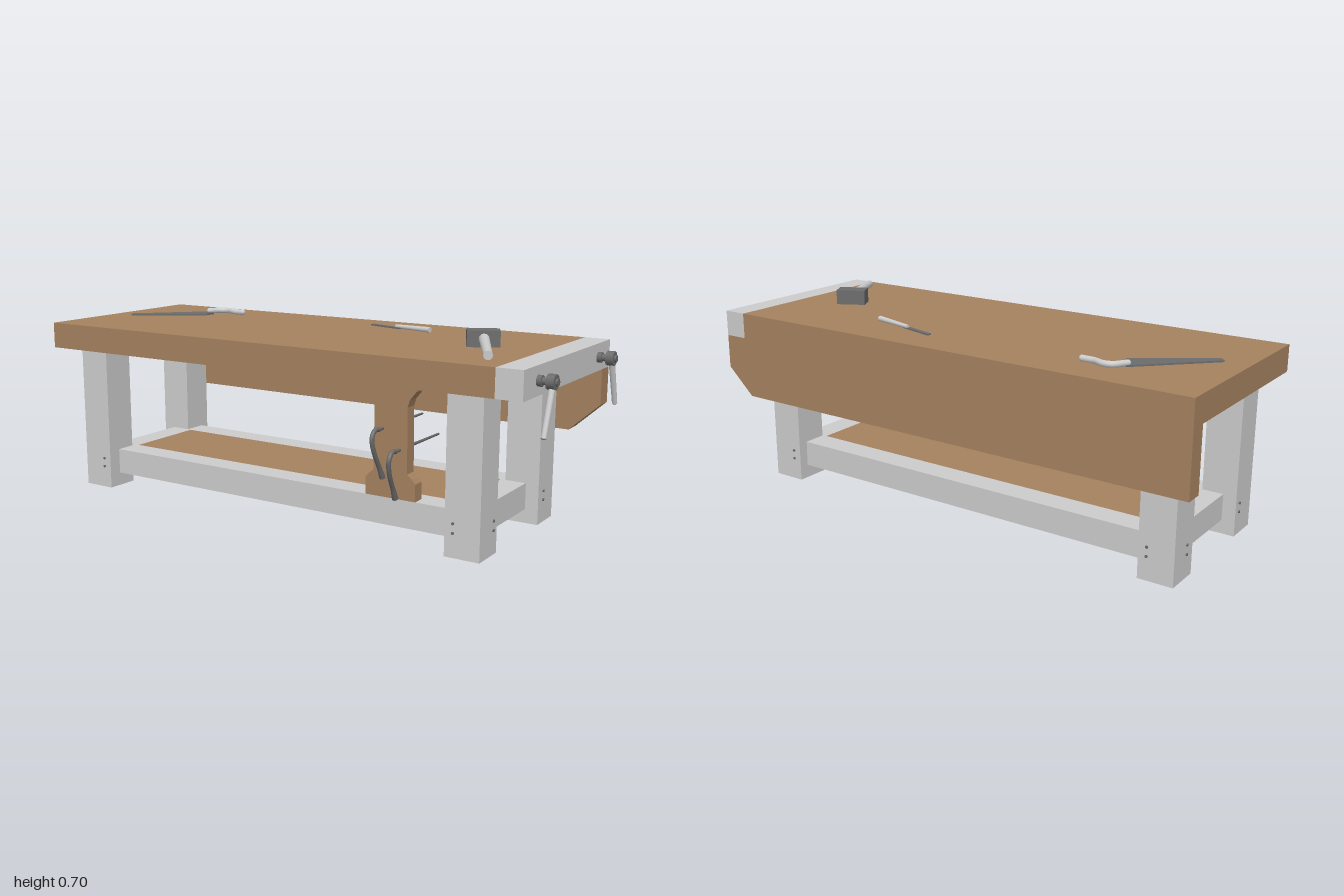
import * as THREE from 'three';

const mat = (name, color) => {
  const m = new THREE.MeshStandardMaterial({ color });
  m.name = name;
  return m;
};

export function createModel() {
  const wood = mat('brown wood', 0xa5825f);
  const pale = mat('pale grey timber', 0xcccccc);
  const steel = mat('dark steel', 0x6c6c6c);
  const bench = new THREE.Group();
  bench.name = 'workbench';

  const add = (name, geometry, material, parent = bench) => {
    const m = new THREE.Mesh(geometry, material);
    m.name = name;
    parent.add(m);
    return m;
  };
  // Box given by its lower and upper limits on each axis
  const box = (name, material, x0, x1, y0, y1, z0, z1) => {
    const m = add(name, new THREE.BoxGeometry(x1 - x0, y1 - y0, z1 - z0), material);
    m.position.set((x0 + x1) / 2, (y0 + y1) / 2, (z0 + z1) / 2);
    return m;
  };
  // Round or faceted rod between two points
  const rod = (name, material, a, b, r0, r1 = r0, sides = 12) => {
    const p = new THREE.Vector3(...a), q = new THREE.Vector3(...b);
    const d = q.clone().sub(p);
    const m = add(name, new THREE.CylinderGeometry(r1, r0, d.length(), sides), material);
    m.position.copy(p).add(q).multiplyScalar(0.5);
    m.quaternion.setFromUnitVectors(new THREE.Vector3(0, 1, 0), d.normalize());
    return m;
  };
  const extrude = (pts, depth) => new THREE.ExtrudeGeometry(
    new THREE.Shape(pts.map(([x, y]) => new THREE.Vector2(x, y))),
    { depth, bevelEnabled: false });
  // Flat outline in x and z, raised from height y
  const plate = (name, material, pts, y, h) => {
    const g = extrude(pts.map(([x, z]) => [x, -z]), h).rotateX(-Math.PI / 2);
    add(name, g, material).position.y = y;
  };

  // Top, end vise jaw and back apron
  box('benchTop', wood, -1, 0.84, 0.55, 0.645, -0.37, 0.37);
  box('viseJaw', pale, 0.84, 0.93, 0.55, 0.645, -0.37, 0.37);
  add('backApron', extrude([[-1, 0.325], [0.82, 0.325], [0.93, 0.425], [0.93, 0.55], [-1, 0.55]], 0.065), wood)
    .position.z = -0.37;

  // Legs with pairs of bolts on their two outer faces
  const legX = [[-0.935, -0.81], [0.645, 0.77]];
  const legZ = [[-0.305, -0.178], [0.165, 0.29]];
  const railX = [-0.84, 0.675], railZ = [-0.22, 0.193];
  legX.forEach((lx, i) => legZ.forEach((lz, j) => {
    box('leg', pale, ...lx, 0, 0.55, ...lz);
    const ox = lx[i], oz = lz[j], sx = i ? 1 : -1, sz = j ? 1 : -1;
    for (const y of [0.083, 0.115]) {
      rod('bolt', steel, [ox - sx * 0.005, y, railZ[j]], [ox + sx * 0.004, y, railZ[j]], 0.005, 0.005, 8);
      rod('bolt', steel, [railX[i], y, oz - sz * 0.005], [railX[i], y, oz + sz * 0.004], 0.005, 0.005, 8);
    }
  }));

  // Rails and lower shelf
  const h = 0.047;
  for (const z of railZ) box('longRail', pale, -0.81, 0.645, 0.05, 0.145, z - h, z + h);
  for (const x of railX) box('sideRail', pale, x - h, x + h, 0.05, 0.145, -0.178, 0.165);
  box('shelf', wood, railX[0] + h, railX[1] - h, 0.125, 0.145, railZ[0] + h, railZ[1] - h);

  // Sliding support board with a narrow waist
  const half = [[0.095, 0.145], [0.095, 0.205], [0.082, 0.22], [0.064, 0.235],
    [0.062, 0.46], [0.07, 0.485], [0.095, 0.515], [0.095, 0.55]];
  const outline = [...half, ...half.map(([x, y]) => [-x, y]).reverse()];
  add('slidingBoard', extrude(outline, 0.045), wood).position.set(0.415, 0, 0.195);

  // Holdfasts: long shaft through the board, hooked arm in front
  for (const [x, y, lean] of [[0.385, 0.38, 0.003], [0.45, 0.315, -0.012]]) {
    rod('holdfastShaft', steel, [x, y, 0.27], [x, y, -0.035], 0.006, 0.004, 10);
    const path = [[0, 0, 0.265], [0, 0.001, 0.292], [0, -0.02, 0.309], [0.2, -0.045, 0.307],
      [0.5, -0.08, 0.293], [0.8, -0.125, 0.267], [1, -0.165, 0.246]]
      .map(([t, dy, z]) => new THREE.Vector3(x + t * lean, y + dy, z));
    add('holdfastArm', new THREE.TubeGeometry(new THREE.CatmullRomCurve3(path), 28, 0.008, 10), steel);
    rod('holdfastPad', steel, [x + lean * 0.8, y - 0.125, 0.266], [x + lean, y - 0.168, 0.244], 0.008, 0.011, 10);
  }

  // Vise screws with slanting handles
  for (const [z, s] of [[0.262, 1], [-0.257, -1]]) {
    rod('viseCollar', steel, [0.93, 0.598, z], [0.945, 0.598, z], 0.018, 0.018, 8);
    rod('viseScrew', steel, [0.94, 0.598, z], [0.995, 0.598, z], 0.012, 0.012, 8);
    rod('viseNut', steel, [0.962, 0.598, z], [0.988, 0.598, z], 0.025, 0.025, 8);
    rod('viseHandle', pale, [0.977, 0.615, z - s * 0.007], [0.977, 0.437, z + s * 0.055], 0.011, 0.009);
    rod('handleCap', steel, [0.977, 0.44, z + s * 0.054], [0.977, 0.434, z + s * 0.056], 0.007, 0.007);
  }

  // Mallet
  const head = box('malletHead', steel, 0.575, 0.685, 0.645, 0.7, -0.022, 0.042);
  head.rotation.y = 0.49;
  rod('malletHandle', pale, [0.645, 0.673, 0.035], [0.77, 0.661, 0.272], 0.018, 0.015);

  // Chisel
  plate('chiselBlade', steel, [[0.065, -0.24], [0.06, -0.224], [0.2, -0.186], [0.204, -0.202]], 0.646, 0.005);
  rod('chiselHandle', pale, [0.18, 0.654, -0.204], [0.338, 0.656, -0.168], 0.007, 0.01);

  // Hand saw
  plate('sawBlade', steel, [[-0.915, 0.03], [-0.895, 0.05], [-0.65, -0.125], [-0.65, -0.17], [-0.69, -0.2]], 0.646, 0.006);
  const grip = [[-0.685, -0.185], [-0.655, -0.228], [-0.625, -0.235], [-0.585, -0.22], [-0.54, -0.218]]
    .map(([x, z]) => new THREE.Vector3(x, 0.656, z));
  add('sawHandle', new THREE.TubeGeometry(new THREE.CatmullRomCurve3(grip), 24, 0.011, 10), pale);
  for (const p of [grip[0], grip[4]]) {
    add('sawHandleEnd', new THREE.SphereGeometry(0.011, 10, 8), pale).position.copy(p);
  }

  return bench;
}
